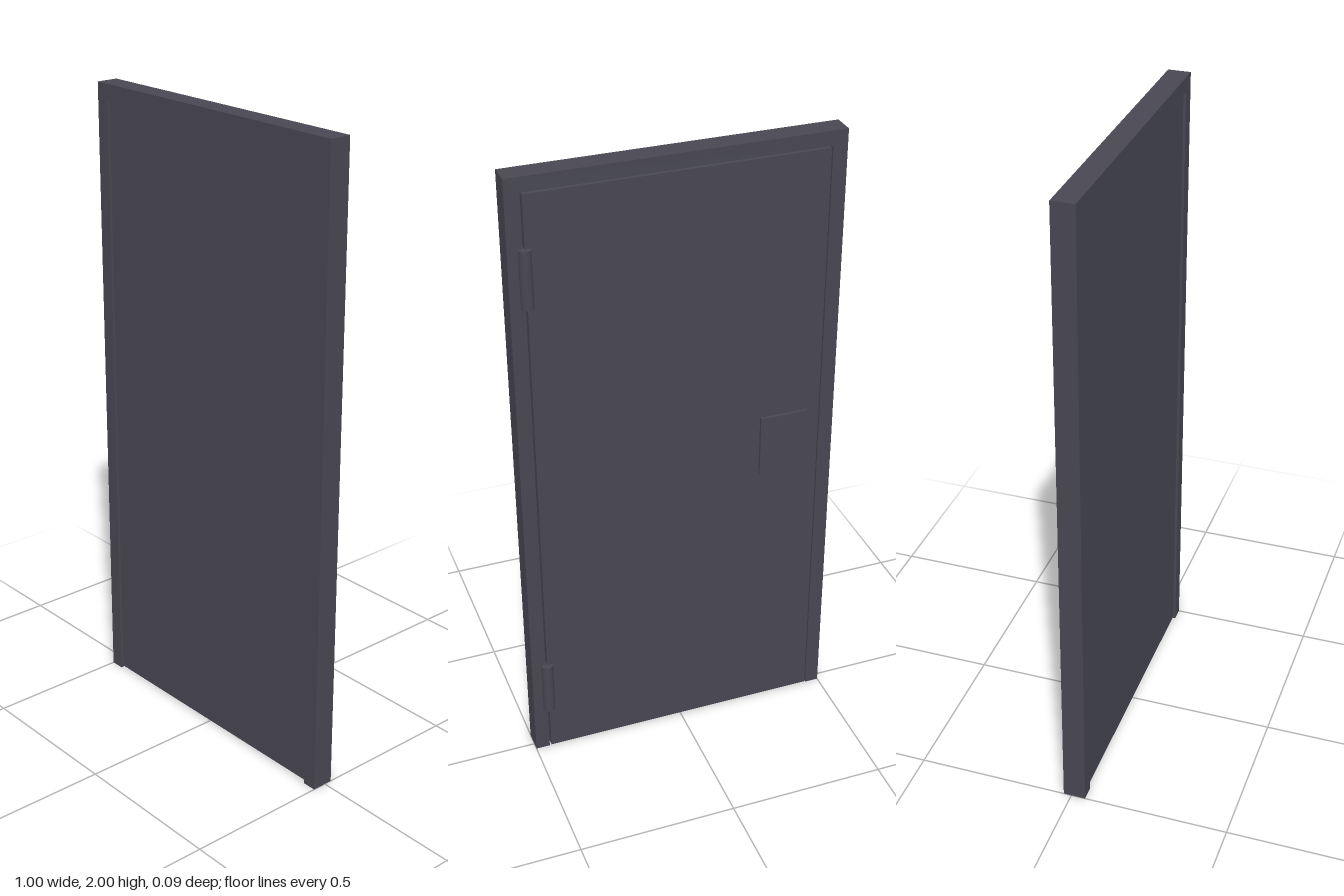
import * as THREE from 'three';

export function createModel() {
  const door = new THREE.Group();
  door.name = 'door';
  const paint = new THREE.MeshStandardMaterial({ color: 0x484752 });
  paint.name = 'dark grey paint';

  const add = (name, geometry, parent = door) => {
    const mesh = new THREE.Mesh(geometry, paint);
    mesh.name = name;
    parent.add(mesh);
    return mesh;
  };
  // Box given by its limits on each axis
  const box = (name, x0, x1, y0, y1, z0, z1) =>
    add(name, new THREE.BoxGeometry(x1 - x0, y1 - y0, z1 - z0))
      .position.set((x0 + x1) / 2, (y0 + y1) / 2, (z0 + z1) / 2);

  // Frame: two jambs and a head, one outline open at the floor
  const outline = new THREE.Shape([
    [-0.5, 0], [-0.455, 0], [-0.455, 1.955], [0.455, 1.955],
    [0.455, 0], [0.5, 0], [0.5, 2], [-0.5, 2],
  ].map(([x, y]) => new THREE.Vector2(x, y)));
  const frame = new THREE.ExtrudeGeometry(outline, { depth: 0.07, bevelEnabled: false });
  frame.translate(0, 0, -0.025);
  add('frame', frame);

  // Leaf, set back at the front, with a narrow groove around it at the back
  box('leafCore', -0.455, 0.455, 0.005, 1.955, 0, 0.037);
  box('leafBack', -0.45, 0.45, 0.005, 1.95, -0.0275, 0);

  // Lock plate
  box('lockPlate', -0.41, -0.256, 0.905, 1.105, -0.037, -0.027);

  // Hinge barrels
  for (const y of [0.25, 1.7]) {
    add('hinge', new THREE.CylinderGeometry(0.019, 0.019, 0.18, 16))
      .position.set(0.45, y, -0.026);
  }
  return door;
}
